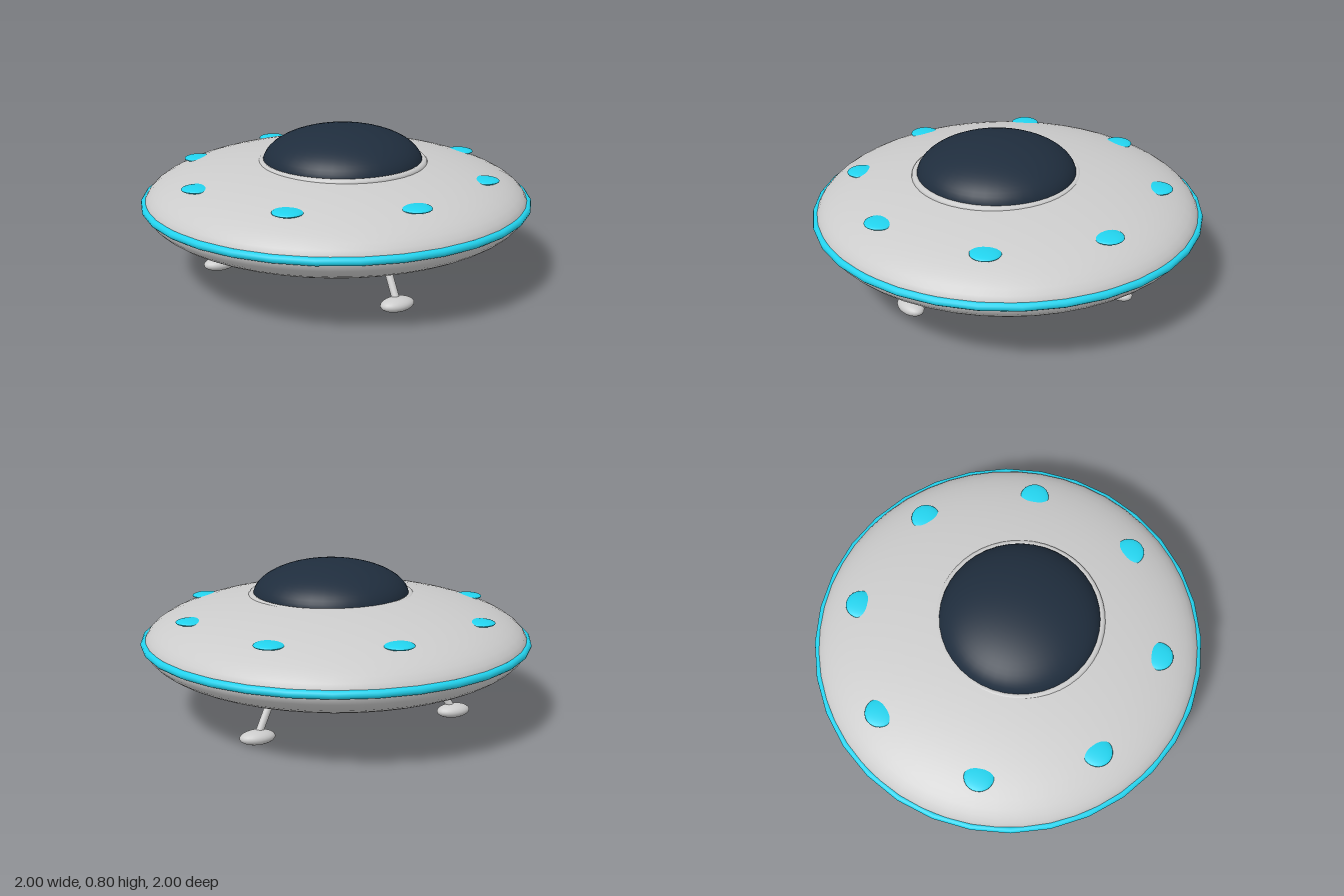
import * as THREE from 'three';

export function createModel() {
  const model = new THREE.Group();
  const grey = new THREE.MeshStandardMaterial({ color: 0xcccccc });
  const cyan = new THREE.MeshStandardMaterial({ color: 0x22d3ee });
  const glass = new THREE.MeshStandardMaterial({ color: 0x1f2d3d });

  function add(name, geometry, material, x, y, z, parent = model) {
    const mesh = new THREE.Mesh(geometry, material);
    mesh.name = name;
    mesh.position.set(x, y, z);
    parent.add(mesh);
    return mesh;
  }

  // Smooth ellipsoid with the given half-sizes
  function ellipsoid(rx, ry, rz, segments = 32, rings = 20) {
    return new THREE.SphereGeometry(1, segments, rings).scale(rx, ry, rz);
  }

  function ring(radius, tube, segments) {
    return new THREE.TorusGeometry(radius, tube, 12, segments).rotateX(Math.PI / 2);
  }

  // Saucer body and glowing rim
  add('hull', ellipsoid(0.98, 0.245, 0.98, 48, 32), grey, 0, 0.41, 0);
  add('rim', ring(0.98, 0.02, 32), cyan, 0, 0.415, 0);

  // Cockpit dome, set slightly towards the front, in its collar
  const domeZ = 0.07;
  const dome = new THREE.SphereGeometry(1, 40, 16, 0, Math.PI * 2, 0, Math.PI / 2).scale(0.405, 0.18, 0.405);
  add('dome', dome, glass, 0, 0.62, domeZ);
  add('domeCollar', ring(0.41, 0.02, 48), grey, 0, 0.62, domeZ);

  // Light under the belly
  add('bellyLight', ellipsoid(0.42, 0.055, 0.42, 40, 20), cyan, 0, 0.2, 0);

  // Eight flat lights partly sunk into the upper hull
  const lights = new THREE.Group();
  lights.name = 'hullLights';
  model.add(lights);
  const lightGeometry = ellipsoid(0.075, 0.015, 0.075, 24, 16);
  for (let i = 0; i < 8; i++) {
    const a = (i * Math.PI) / 4;
    add('hullLight', lightGeometry, cyan, Math.sin(a) * 0.765, 0.56, Math.cos(a) * 0.765, lights);
  }

  // Three splayed landing legs: one in front, two behind
  const top = [0.46, 0.28];
  const bottom = [0.61, 0.045];
  const length = Math.hypot(bottom[0] - top[0], top[1] - bottom[1]);
  const strutGeometry = new THREE.CylinderGeometry(0.019, 0.019, length, 16);
  const footGeometry = ellipsoid(0.09, 0.036, 0.057, 24, 16);
  for (let i = 0; i < 3; i++) {
    const a = (i * Math.PI * 2) / 3;
    const leg = new THREE.Group();
    leg.name = 'landingLeg';
    model.add(leg);
    const out = new THREE.Vector3(Math.sin(a), 0, Math.cos(a));
    const start = out.clone().multiplyScalar(top[0]).setY(top[1]);
    const end = out.clone().multiplyScalar(bottom[0]).setY(bottom[1]);
    const mid = start.clone().lerp(end, 0.5);
    const strut = add('strut', strutGeometry, grey, mid.x, mid.y, mid.z, leg);
    strut.quaternion.setFromUnitVectors(new THREE.Vector3(0, 1, 0), start.sub(end).normalize());
    add('foot', footGeometry, grey, out.x * 0.615, 0.036, out.z * 0.615, leg);
  }

  return model;
}
